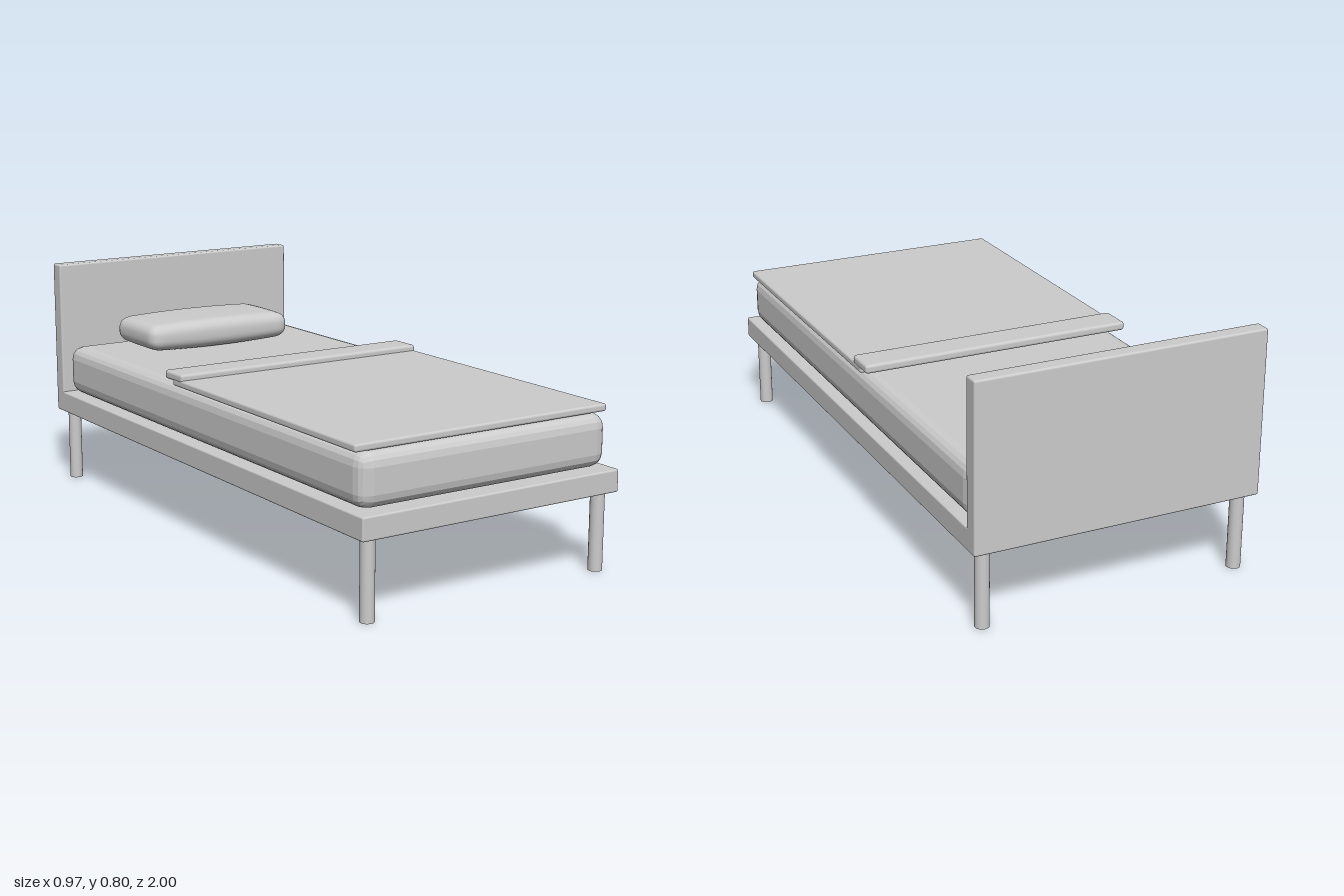
import * as THREE from 'three';
import { RoundedBoxGeometry } from 'three/addons/geometries/RoundedBoxGeometry.js';
import { mergeVertices } from 'three/addons/utils/BufferGeometryUtils.js';

export function createModel() {
  const bed = new THREE.Group();
  bed.name = 'bed';
  const grey = new THREE.MeshStandardMaterial({ color: 0xcccccc });
  grey.name = 'light grey';

  function add(name, geometry, x, y, z) {
    const mesh = new THREE.Mesh(geometry, grey);
    mesh.name = name;
    mesh.position.set(x, y, z);
    bed.add(mesh);
  }

  // Box given by its extents, with bevelled edges
  function slab(name, halfX, y0, y1, z0, z1, radius, segments, faceted) {
    const g = new RoundedBoxGeometry(halfX * 2, y1 - y0, z1 - z0, segments, radius);
    if (faceted) g.computeVertexNormals();
    add(name, g, 0, (y0 + y1) / 2, (z0 + z1) / 2);
  }

  // Frame and headboard
  slab('frame', 0.485, 0.257, 0.331, -0.997, 1, 0.006, 2, false);
  slab('headboard', 0.485, 0.257, 0.804, -1, -0.945, 0.007, 2, false);

  // Faceted mattress
  slab('mattress', 0.467, 0.332, 0.506, -0.932, 0.967, 0.046, 2, true);

  // Blanket with its folded top edge
  slab('blanket', 0.475, 0.506, 0.531, -0.122, 0.945, 0.008, 2, false);
  slab('blanketFold', 0.475, 0.521, 0.551, -0.174, -0.06, 0.01, 2, false);

  // Legs
  for (const x of [-0.438, 0.438])
    for (const z of [-0.953, 0.957])
      add('leg', new THREE.CylinderGeometry(0.023, 0.023, 0.262, 24), x, 0.131, z);

  add('pillow', pillowGeometry(0.29, 0.054, 0.152, 0.044), 0, 0.559, -0.748);
  return bed;
}

// Rounded cushion that thins gently towards its ends
function pillowGeometry(hx, hy, hz, r) {
  let g = new THREE.BoxGeometry(2, 2, 2, 28, 14, 22);
  g.deleteAttribute('uv');
  g.deleteAttribute('normal');
  g = mergeVertices(g);
  const half = new THREE.Vector3(hx, hy, hz);
  const inner = half.clone().subScalar(r);
  const pos = g.attributes.position;
  const p = new THREE.Vector3(), core = new THREE.Vector3();
  const ease = (u) => Math.sin((u * Math.PI) / 2);
  for (let i = 0; i < pos.count; i++) {
    p.fromBufferAttribute(pos, i);
    p.set(ease(p.x), ease(p.y), ease(p.z)).multiply(half);
    core.copy(p).clamp(inner.clone().negate(), inner);
    p.sub(core).setLength(r).add(core);
    const u = (p.x / hx) ** 2, w = (p.z / hz) ** 2;
    p.y *= 1 - 0.14 * u - 0.05 * w;
    p.z *= 1 - 0.05 * u;
    pos.setXYZ(i, p.x, p.y, p.z);
  }
  g.computeVertexNormals();
  return g;
}
